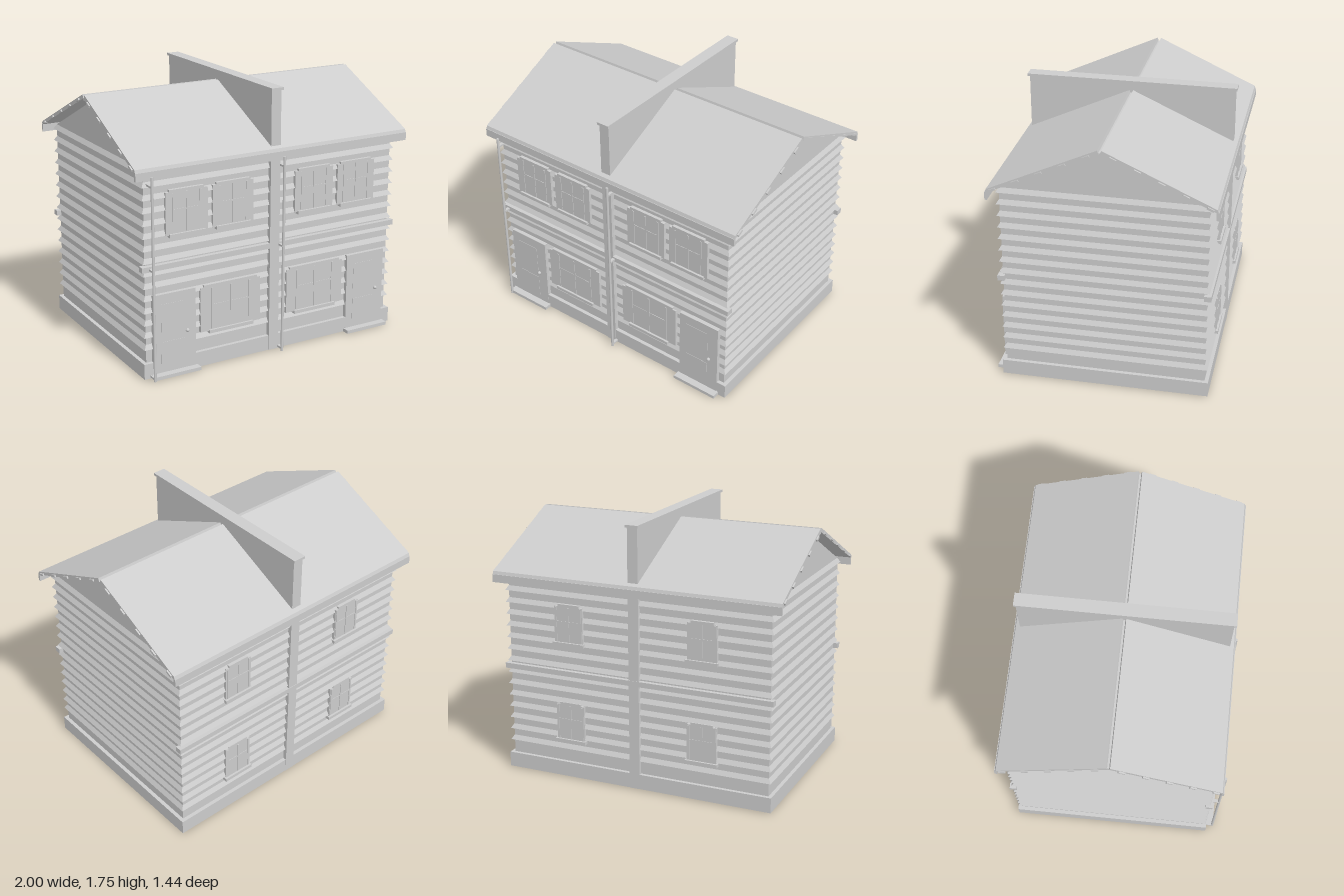
import * as THREE from 'three';

export function createModel() {
  const house = new THREE.Group();
  house.name = 'semiDetachedHouse';
  const grey = new THREE.MeshStandardMaterial({ color: 0xcccccc });
  grey.name = 'light grey';

  const add = (name, geo, parent = house) => {
    const m = new THREE.Mesh(geo, grey);
    m.name = name;
    parent.add(m);
    return m;
  };
  // box given by its limits on each axis
  const box = (name, x0, x1, y0, y1, z0, z1, parent) => {
    const g = new THREE.BoxGeometry(x1 - x0, y1 - y0, z1 - z0);
    g.translate((x0 + x1) / 2, (y0 + y1) / 2, (z0 + z1) / 2);
    return add(name, g, parent);
  };
  // profile of [z, y] points extruded along x
  const prism = (name, pts, x0, x1) => {
    const shape = new THREE.Shape(pts.map(([z, y]) => new THREE.Vector2(-z, y)));
    const g = new THREE.ExtrudeGeometry(shape, { depth: x1 - x0, bevelEnabled: false });
    g.rotateY(Math.PI / 2).translate(x0, 0, 0);
    return add(name, g);
  };

  const W = 0.91, ZF = 0.635, ZB = -0.655, ZC = -0.01;

  // walls with gables, and plinth
  prism('walls', [[ZF, 0.02], [ZF, 1.345], [ZC, 1.645], [ZB, 1.345], [ZB, 0.02]], -W, W);
  box('plinth', -0.935, 0.935, 0.005, 0.105, -0.68, 0.66);

  // clapboard laps: tapered rings around the walls
  const out = 0.018, lapHeight = 0.03;
  for (let k = 1; k <= 15; k++) {
    const y = 0.115 + 0.08 * k;
    const hx = W + out, hz = (ZF - ZB) / 2 + out;
    const g = new THREE.BoxGeometry(hx * 2, lapHeight, hz * 2).toNonIndexed();
    const p = g.attributes.position;
    for (let i = 0; i < p.count; i++) {
      if (p.getY(i) > 0) {
        p.setX(i, Math.sign(p.getX(i)) * (hx - out));
        p.setZ(i, Math.sign(p.getZ(i)) * (hz - out));
      }
    }
    g.computeVertexNormals();
    g.translate(0, y + lapHeight / 2, ZC);
    add('sidingLap', g);
  }

  // belt course on front and back
  box('frontBelt', -0.94, 0.94, 0.705, 0.74, 0.62, 0.665);
  box('backBelt', -0.94, 0.94, 0.705, 0.74, -0.685, -0.64);

  // roof slopes, fascias and verge clips
  const slope = Math.atan2(0.315, 0.685);
  for (const s of [1, -1]) {
    const at = (d) => ZC + s * d;
    const pts = [[at(0.012), 1.68], [at(0.7), 1.365], [at(0.71), 1.337], [at(0.004), 1.655]];
    prism(s > 0 ? 'frontRoof' : 'backRoof', pts, -0.99, 0.99);
    const f0 = at(0.695), f1 = at(0.711);
    box('eaveGutter', -0.99, 0.99, 1.293, 1.345, Math.min(f0, f1), Math.max(f0, f1));
    for (let i = 0; i < 5; i++) {
      const d = 0.08 + 0.145 * i;
      for (const x of [-0.99, 0.99]) {
        const clip = add('vergeClip', new THREE.BoxGeometry(0.02, 0.014, 0.045));
        clip.position.set(x, 1.668 - d * 0.458, at(d));
        clip.rotation.x = s * slope;
      }
    }
  }
  box('ridgeStrip', -0.985, 0.985, 1.64, 1.662, ZC - 0.02, ZC + 0.02);

  // party wall rising through the roof
  box('partyWall', -0.035, 0.035, 0.005, 1.73, -0.682, 0.665);
  box('partyWallCap', -0.043, 0.043, 1.728, 1.745, -0.695, 0.68);

  // window facing +z at its local origin (bottom centre)
  const makeWindow = (name, w, h, sillW, shutter) => {
    const g = new THREE.Group();
    g.name = name;
    const inner = w / 2 - shutter;
    box('frame', -w / 2, w / 2, 0, h - 0.014, -0.03, 0.02, g);
    box('frameHead', -w / 2 + 0.025, w / 2 - 0.025, h - 0.016, h, -0.03, 0.02, g);
    for (const s of [-1, 1]) {
      const x = s * inner;
      box('stile', x - 0.006, x + 0.006, 0.012, h - 0.02, 0.018, 0.024, g);
    }
    box('mullion', -0.006, 0.006, 0.012, h - 0.02, 0.018, 0.024, g);
    box('glazingBar', -inner, inner, h * 0.55 - 0.005, h * 0.55 + 0.005, 0.018, 0.023, g);
    box('sill', -sillW / 2, sillW / 2, -0.014, 0.008, -0.03, 0.034, g);
    house.add(g);
    return g;
  };
  for (const s of [-1, 1]) {
    for (const x of [0.3, 0.627]) {
      makeWindow('upperFrontWindow', 0.29, 0.285, 0.25, 0.05).position.set(s * x, 0.913, 0.636);
    }
    makeWindow('lowerFrontWindow', 0.435, 0.31, 0.32, 0.08).position.set(s * 0.318, 0.233, 0.636);
    for (const y of [0.925, 0.26]) {
      const w = makeWindow('backWindow', 0.2, 0.26, 0.22, 0.012);
      w.position.set(s * 0.465, y, -0.656);
      w.rotation.y = Math.PI;
    }
  }

  // front doors with steps and knobs
  for (const s of [-1, 1]) {
    const door = new THREE.Group();
    door.name = 'frontDoor';
    box('doorLeaf', -0.148, 0.148, 0.02, 0.545, -0.03, 0.03, door);
    for (const [y0, y1] of [[0.07, 0.23], [0.27, 0.48]]) {
      box('doorPanel', -0.095, 0.07, y0, y1, 0.028, 0.032, door);
    }
    box('doorStep', -0.16, 0.16, 0.005, 0.027, -0.01, 0.078, door);
    const knob = add('doorKnob', new THREE.SphereGeometry(0.012, 16, 10), door);
    knob.position.set(0.085, 0.278, 0.038);
    door.position.set(s * 0.722, 0, 0.632);
    house.add(door);
  }

  // downpipes with a short foot back to the wall
  for (const x of [-0.885, 0.04]) {
    const pipe = add('downpipe', new THREE.CylinderGeometry(0.009, 0.009, 1.31, 12));
    pipe.position.set(x, 0.655, 0.706);
    for (const y of [0.02, 0.722, 1.25]) {
      box('pipeBracket', x - 0.01, x + 0.01, y - 0.006, y + 0.006, 0.63, 0.706);
    }
  }
  return house;
}
